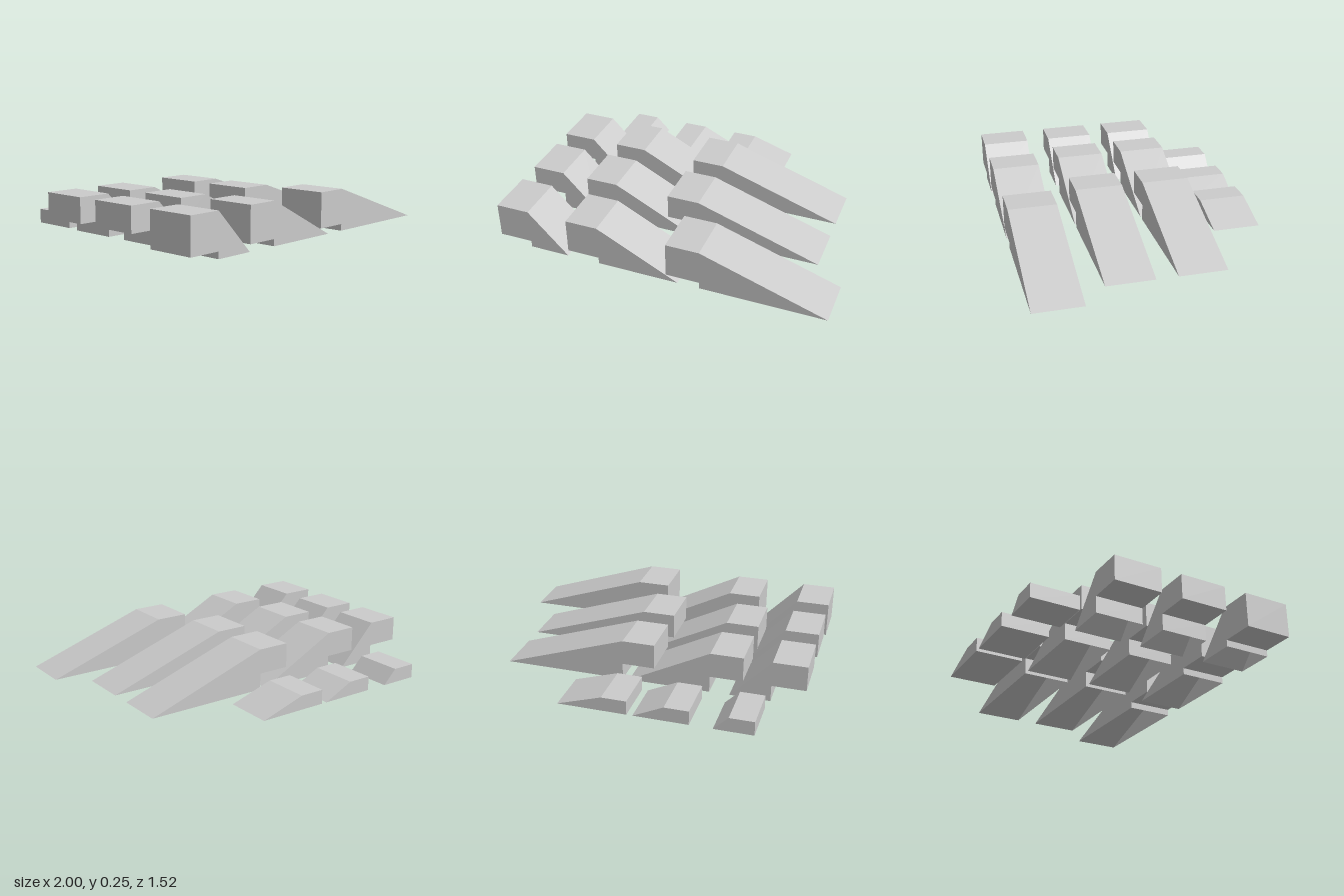
import * as THREE from 'three';

const material = new THREE.MeshStandardMaterial({ color: 0xcccccc, flatShading: true, side: THREE.DoubleSide });

// Prism along z from a counterclockwise side profile; openEdge is the wall left out
function prism(profile, z0, z1, openEdge = -1) {
  const pts = profile.map(([x, y]) => new THREE.Vector2(x, y));
  const out = [];
  const add = (p, z) => out.push(p.x, p.y, z);
  // side caps
  for (const [a, b, c] of THREE.ShapeUtils.triangulateShape(pts, [])) {
    [a, b, c].forEach(i => add(pts[i], z1));
    [a, c, b].forEach(i => add(pts[i], z0));
  }
  // walls around the profile
  pts.forEach((a, i) => {
    if (i === openEdge) return;
    const b = pts[(i + 1) % pts.length];
    add(a, z1); add(a, z0); add(b, z0);
    add(a, z1); add(b, z0); add(b, z1);
  });
  const geometry = new THREE.BufferGeometry();
  geometry.setAttribute('position', new THREE.Float32BufferAttribute(out, 3));
  geometry.computeVertexNormals();
  return geometry;
}

// Wedge with a flat top x0..x1 sloping down to x2; a raised heel leaves the ramp open below
function wedgeProfile([x0, x1, x2], height, heel) {
  const top = [[x2, 0], [x1, height], [x0, height]];
  return heel > 0
    ? [[x0, heel], [x1, heel], [x1, 0], ...top]
    : [[x0, 0], ...top];
}

export function createModel() {
  const model = new THREE.Group();
  model.name = 'wedgeSet';

  const middle = [[-1, -0.8, -0.56], [-0.635, -0.44, 0.05], [-0.105, 0.09, 0.83]];
  const rows = [
    { name: 'frontRow', z: 0.615, height: 0.25, heel: 0.04,
      wedges: [[-1, -0.8, -0.56], [-0.555, -0.36, 0.13], [0.06, 0.26, 1]] },
    { name: 'frontMiddleRow', z: 0.18, height: 0.25, heel: 0.1, wedges: middle },
    { name: 'backMiddleRow', z: -0.24, height: 0.25, heel: 0.1, wedges: middle },
    { name: 'backRow', z: -0.62, height: 0.085, heel: 0,
      wedges: [[-0.785, -0.64, -0.555], [-0.42, -0.275, -0.095], [-0.06, 0.09, 0.355]] },
  ];
  const slopes = ['steepWedge', 'mediumWedge', 'shallowWedge'];
  const halfWidth = 0.145;

  for (const { name, z, height, heel, wedges } of rows) {
    const row = new THREE.Group();
    row.name = name;
    wedges.forEach((w, i) => {
      const geometry = prism(wedgeProfile(w, height, heel), z - halfWidth, z + halfWidth, heel > 0 ? 2 : -1);
      const mesh = new THREE.Mesh(geometry, material);
      mesh.name = slopes[i];
      row.add(mesh);
    });
    model.add(row);
  }
  return model;
}
